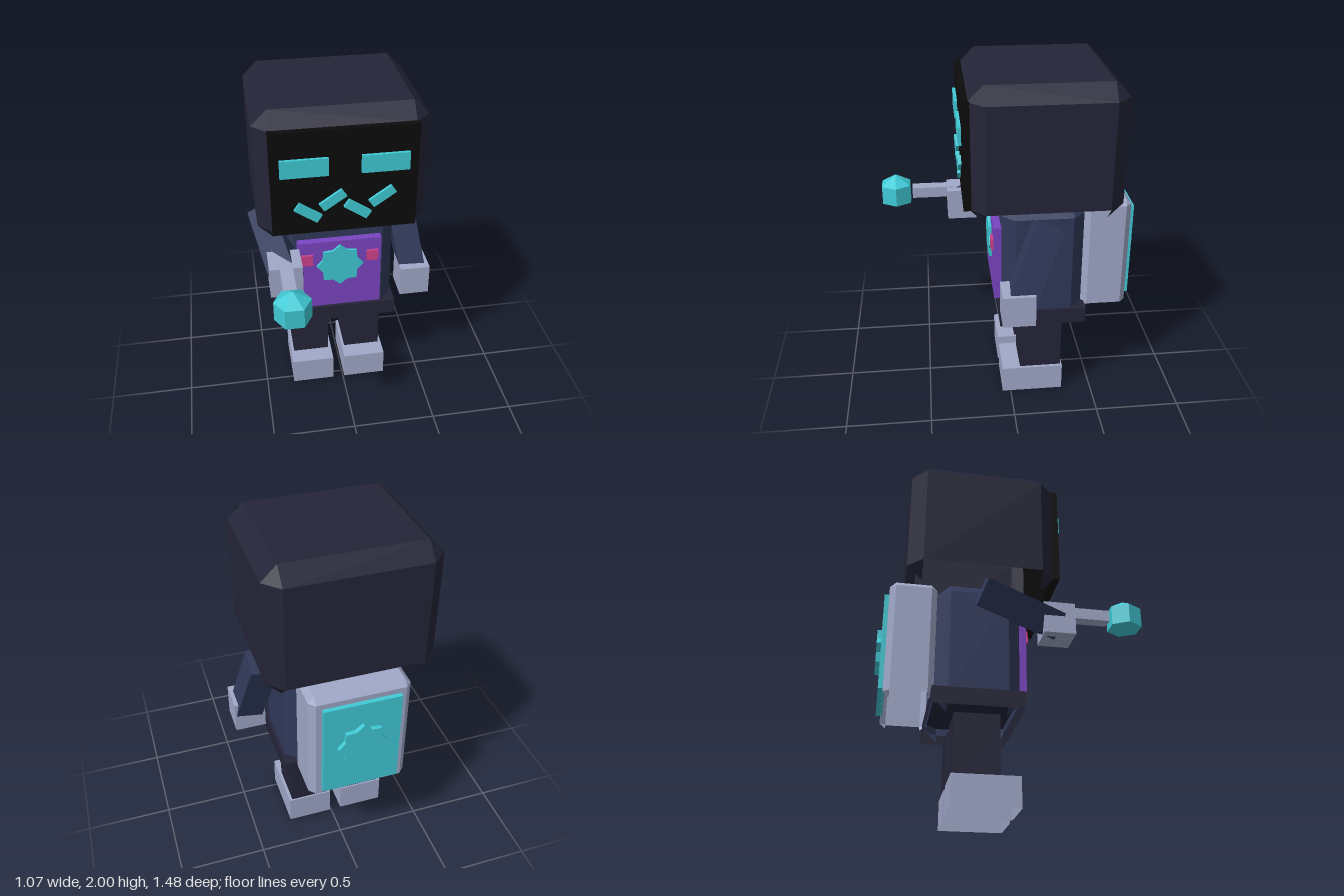
import * as THREE from 'three';

const mat = (name, color, side = THREE.DoubleSide) => {
  const m = new THREE.MeshStandardMaterial({ color, side, flatShading: true });
  m.name = name;
  return m;
};

// Box from min/max extents; an open box has no floor.
function boxGeo([x0, x1], [y0, y1], [z0, z1], open = false) {
  const g = new THREE.BoxGeometry(x1 - x0, y1 - y0, z1 - z0);
  if (open) {
    const idx = Array.from(g.index.array);
    idx.splice(18, 6);
    g.setIndex(idx);
    g.clearGroups();
  }
  return g.translate((x0 + x1) / 2, (y0 + y1) / 2, (z0 + z1) / 2);
}

// Chamfered shell, open underneath, with pointed lower corners.
function chamferShell(xs, ys, zs, c) {
  const mid = [xs, ys, zs].map(([a, b]) => (a + b) / 2);
  const half = [xs, ys, zs].map(([a, b]) => (b - a) / 2);
  const pos = [];
  // Corner point lying on the face of the given axis
  const P = (s, axis) => s.map((v, i) => mid[i] + v * (half[i] - (i === axis ? 0 : c)));
  const tri = (a, b, d) => {
    const [A, B, D] = [a, b, d].map((p) => new THREE.Vector3(...p));
    const n = B.clone().sub(A).cross(D.clone().sub(A));
    const out = A.clone().add(B).add(D).divideScalar(3).sub(new THREE.Vector3(...mid));
    pos.push(...a, ...(n.dot(out) > 0 ? [...b, ...d] : [...d, ...b]));
  };
  const quad = (a, b, d, e) => { tri(a, b, d); tri(a, d, e); };
  const signs = (axes, vals) => {
    const s = [0, 0, 0];
    axes.forEach((a, i) => { s[a] = vals[i]; });
    return s;
  };
  for (let a = 0; a < 3; a++) {
    const b = (a + 1) % 3, d = (a + 2) % 3;
    for (const s of [-1, 1]) {
      // Flat faces, except the floor
      if (!(a === 1 && s < 0)) {
        quad(...[[-1, -1], [1, -1], [1, 1], [-1, 1]].map(([u, v]) => P(signs([a, b, d], [s, u, v]), a)));
      }
      // Edge bevels, except the lower ones
      for (const t of [-1, 1]) {
        if ((a === 1 && s < 0) || (b === 1 && t < 0)) continue;
        const lo = signs([a, b, d], [s, t, -1]), hi = signs([a, b, d], [s, t, 1]);
        quad(P(lo, a), P(hi, a), P(hi, b), P(lo, b));
      }
    }
  }
  for (const x of [-1, 1]) for (const y of [-1, 1]) for (const z of [-1, 1]) {
    tri(...[0, 1, 2].map((a) => P([x, y, z], a)));
  }
  const g = new THREE.BufferGeometry();
  g.setAttribute('position', new THREE.Float32BufferAttribute(pos, 3));
  g.computeVertexNormals();
  return g;
}

// Eight-pointed star plate
function starGeo(depth) {
  const pts = [];
  for (let i = 0; i < 16; i++) {
    const a = (i * Math.PI) / 8, r = i % 2 ? 0.111 : 0.139;
    pts.push(new THREE.Vector2(r * Math.cos(a), r * Math.sin(a)));
  }
  return new THREE.ExtrudeGeometry(new THREE.Shape(pts), { depth, bevelEnabled: false });
}

// Square limb running from one point to another, rolled so its width follows xHint
function limbGeo(from, to, xHint) {
  const a = new THREE.Vector3(...from), b = new THREE.Vector3(...to);
  const y = a.clone().sub(b), len = y.length();
  y.normalize();
  const z = new THREE.Vector3(...xHint).cross(y).normalize();
  const x = y.clone().cross(z);
  const m = new THREE.Matrix4().makeBasis(x, y, z).setPosition(a.add(b).multiplyScalar(0.5));
  return new THREE.BoxGeometry(0.155, len, 0.16).applyMatrix4(m);
}

export function createModel() {
  const dark = mat('dark cloth', 0x242438);
  const navy = mat('navy cloth', 0x30395a);
  const pale = mat('pale metal', 0xa0a8c8);
  const cyan = mat('cyan glow', 0x40cad6);
  const purple = mat('purple plate', 0x7a45c2);
  const pink = mat('pink button', 0xd0428c);
  const black = mat('black visor', 0x0c0c0c);

  const root = new THREE.Group();
  const add = (name, geo, material) => {
    const m = new THREE.Mesh(geo, material);
    m.name = name;
    root.add(m);
    return m;
  };
  const cx = -0.027; // body centre line

  // Head and face
  add('head', chamferShell([-0.495, 0.44], [1.232, 2], [-0.606, 0.235], 0.085), dark);
  add('visor', boxGeo([-0.42, 0.367], [1.315, 1.92], [0.22, 0.266]), black);
  for (const s of [-1, 1]) {
    const x = cx + s * 0.215;
    add(s > 0 ? 'leftEye' : 'rightEye', boxGeo([x - 0.128, x + 0.128], [1.668, 1.77], [0.26, 0.284]), cyan);
  }
  for (let i = 0; i < 4; i++) {
    const bar = add('mouthBar', new THREE.BoxGeometry(0.148, 0.052, 0.024), cyan);
    bar.position.set(-0.227 + i * 0.134, i % 2 ? 1.517 : 1.45, 0.272);
    bar.rotation.z = (i % 2 ? 1 : -1) * 0.6;
  }

  // Torso, chest plate and belt
  add('torso', chamferShell([-0.36, 0.306], [0.51, 1.28], [-0.42, 0.05], 0.07), navy);
  add('chestPlate', boxGeo([-0.275, 0.22], [0.66, 1.125], [0.04, 0.094]), purple);
  add('chestStar', starGeo(0.03).translate(cx, 0.962, 0.08), cyan);
  for (const s of [-1, 1]) {
    const x = cx + s * 0.194;
    add('chestButton', boxGeo([x - 0.034, x + 0.034], [0.975, 1.045], [0.08, 0.108]), pink);
  }
  add('belt', boxGeo([-0.378, 0.323], [0.525, 0.622], [-0.438, 0.068], true), dark);

  // Legs and hollow boots
  for (const s of [-1, 1]) {
    const side = s > 0 ? 'left' : 'right';
    const x = cx + s * 0.168;
    add(side + 'Leg', boxGeo([x - 0.114, x + 0.114], [0.13, 0.507], [-0.31, -0.06]), dark);
    add(side + 'Boot', boxGeo([x - 0.132, x + 0.132], [0, 0.17], [-0.32, 0.05], true), pale);
  }

  // Arms: left hangs, right reaches forward
  add('leftArm', limbGeo([0.375, 1.2, -0.19], [0.447, 0.765, -0.03], [0.985, 0.16, 0]), navy);
  add('leftHand', boxGeo([0.353, 0.534], [0.665, 0.855], [-0.113, 0.073]), pale);
  add('rightArm', limbGeo([-0.435, 1.18, -0.19], [-0.36, 1.04, 0.255], [0.88, 0.47, 0]), navy);
  add('rightHand', boxGeo([-0.456, -0.272], [0.952, 1.14], [0.16, 0.338]), pale);

  // Wand with a hexagonal gem
  add('wand', boxGeo([-0.4, -0.328], [1.08, 1.146], [0.3, 0.553]), pale);
  const gem = new THREE.CylinderGeometry(0.1, 0.1, 0.115, 6, 1).rotateY(Math.PI / 6);
  add('gemBase', gem.translate(-0.363, 1.1125, 0.652), cyan);
  const tip = new THREE.ConeGeometry(0.1, 0.06, 6, 1, true).rotateY(Math.PI / 6);
  add('gemTip', tip.translate(-0.363, 1.2, 0.652), cyan);

  // Backpack
  add('backpack', chamferShell([-0.31, 0.257], [0.575, 1.28], [-0.69, -0.42], 0.034), pale);
  add('backPanel', boxGeo([-0.245, 0.191], [0.64, 1.215], [-0.716, -0.68]), cyan);
  add('backStar', starGeo(0.03).translate(cx, 0.947, -0.741), cyan);

  return root;
}
